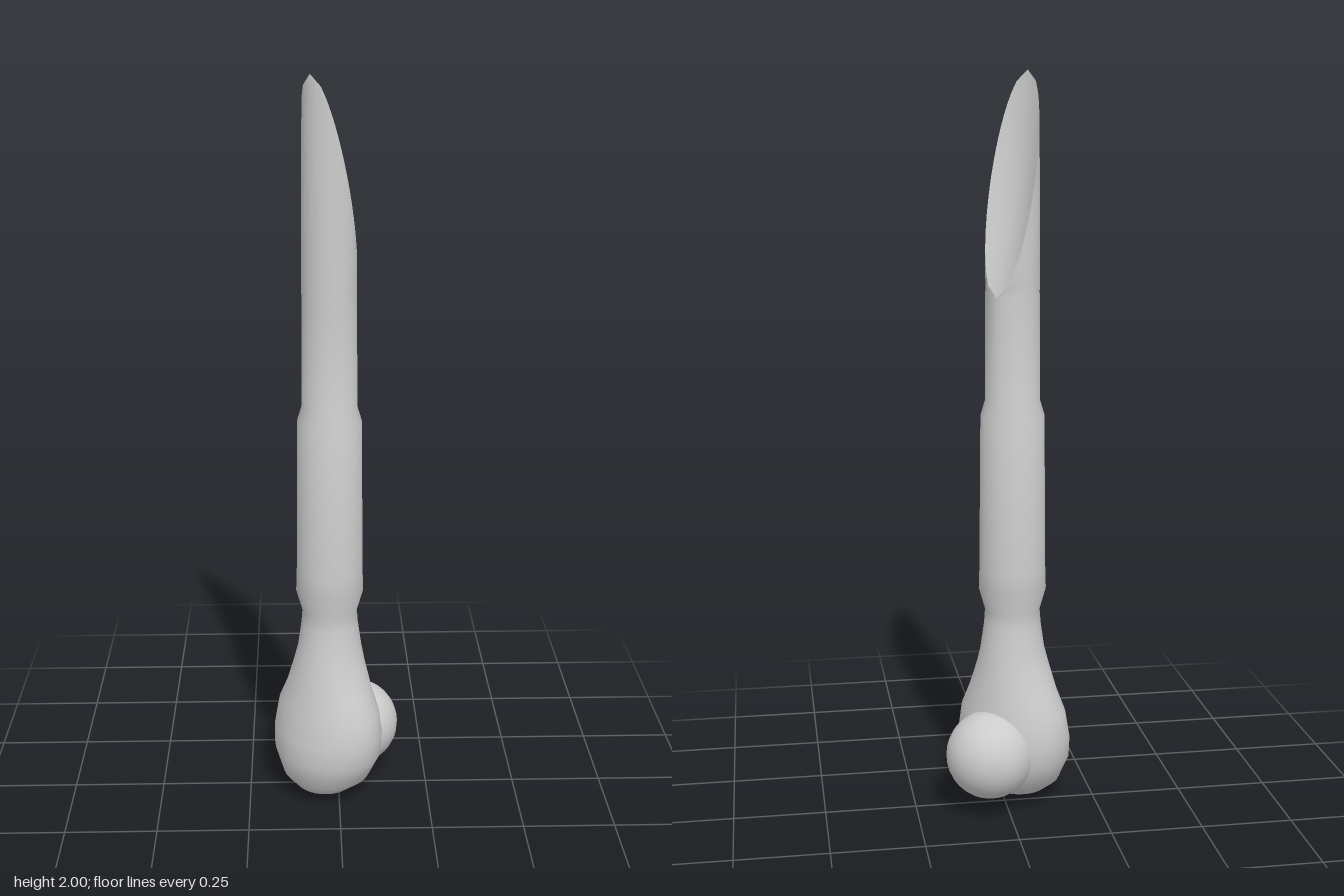
import * as THREE from 'three';
import { toCreasedNormals } from 'three/addons/utils/BufferGeometryUtils.js';

const AXIS = -0.035; // shaft axis, measured along the direction the cut faces
const CUT_START = 1.42, TOP = 2;

// u runs towards the cut face (+x, -z), w runs sideways (-x, -z)
const place = (u, w, y) => [(u - w) * Math.SQRT1_2, y, (-u - w) * Math.SQRT1_2];

// Skin between rows of points, listed from bottom to top
function loft(rows) {
  const n = rows[0].length, index = [];
  for (let i = 0; i < rows.length - 1; i++) {
    for (let j = 0; j < n - 1; j++) {
      const a = i * n + j, b = a + 1, c = b + n, d = a + n;
      index.push(a, b, c, a, c, d);
    }
  }
  const g = new THREE.BufferGeometry();
  g.setAttribute('position', new THREE.Float32BufferAttribute(rows.flat(2), 3));
  g.setIndex(index);
  return toCreasedNormals(g, 0.8);
}

// Ring of the body; the arc is left open where the slanted cut removes it
function ring([y, cu, ru, rw], open = 0, sides = 28) {
  return Array.from({ length: sides + 1 }, (_, j) => {
    const a = open + (2 * Math.PI - 2 * open) * j / sides;
    return place(cu + ru * Math.cos(a), rw * Math.sin(a), y);
  });
}

export function createModel() {
  const group = new THREE.Group();
  const material = new THREE.MeshStandardMaterial({ color: 0xcccccc, side: THREE.DoubleSide });
  const add = (name, geometry) => {
    const mesh = new THREE.Mesh(geometry, material);
    mesh.name = name;
    group.add(mesh);
    return mesh;
  };

  // Knuckle, neck, thicker grip and upper shaft: y, centre, half depth, half width
  const profile = [
    [0.005, -0.065, 0, 0],
    [0.012, -0.065, 0.025, 0.025],
    [0.035, -0.06, 0.075, 0.08],
    [0.07, -0.05, 0.115, 0.125],
    [0.14, -0.045, 0.135, 0.16],
    [0.2, -0.042, 0.132, 0.166],
    [0.27, -0.04, 0.12, 0.156],
    [0.33, -0.038, 0.108, 0.128],
    [0.4, -0.037, 0.097, 0.102],
    [0.45, AXIS, 0.088, 0.088],
    [0.52, AXIS, 0.078, 0.078],
    [0.56, AXIS, 0.075, 0.075],
    [0.62, AXIS, 0.092, 0.092],
    [0.68, AXIS, 0.09, 0.09],
    [1.1, AXIS, 0.086, 0.086],
    [1.14, AXIS, 0.074, 0.074],
  ];
  const bodyRows = profile.map((p) => ring(p));

  // Slanted, scooped point
  const hollowRows = [], steps = 20, across = 10;
  for (let i = 0; i <= steps; i++) {
    const t = i / steps, y = CUT_START + (TOP - CUT_START) * t;
    const r = 0.072 - 0.005 * t * t;
    const cut = THREE.MathUtils.lerp(0.072, -0.067, t);
    const open = Math.acos(THREE.MathUtils.clamp(cut / r, -1, 1));
    bodyRows.push(ring([y, AXIS, r, r], open));
    const half = r * Math.sin(open), scoop = 0.024 * Math.sin(Math.PI * t);
    hollowRows.push(Array.from({ length: across + 1 }, (_, j) => {
      const s = 2 * j / across - 1;
      return place(AXIS + cut - scoop * (1 - s * s), half * s, y);
    }));
  }
  add('shaft', loft(bodyRows));
  add('pointHollow', loft(hollowRows));

  // Rounded joint head on the side of the knuckle
  const head = add('jointHead', new THREE.SphereGeometry(0.12, 28, 18));
  head.position.set(0.05, 0.17, -0.056);

  return group;
}
